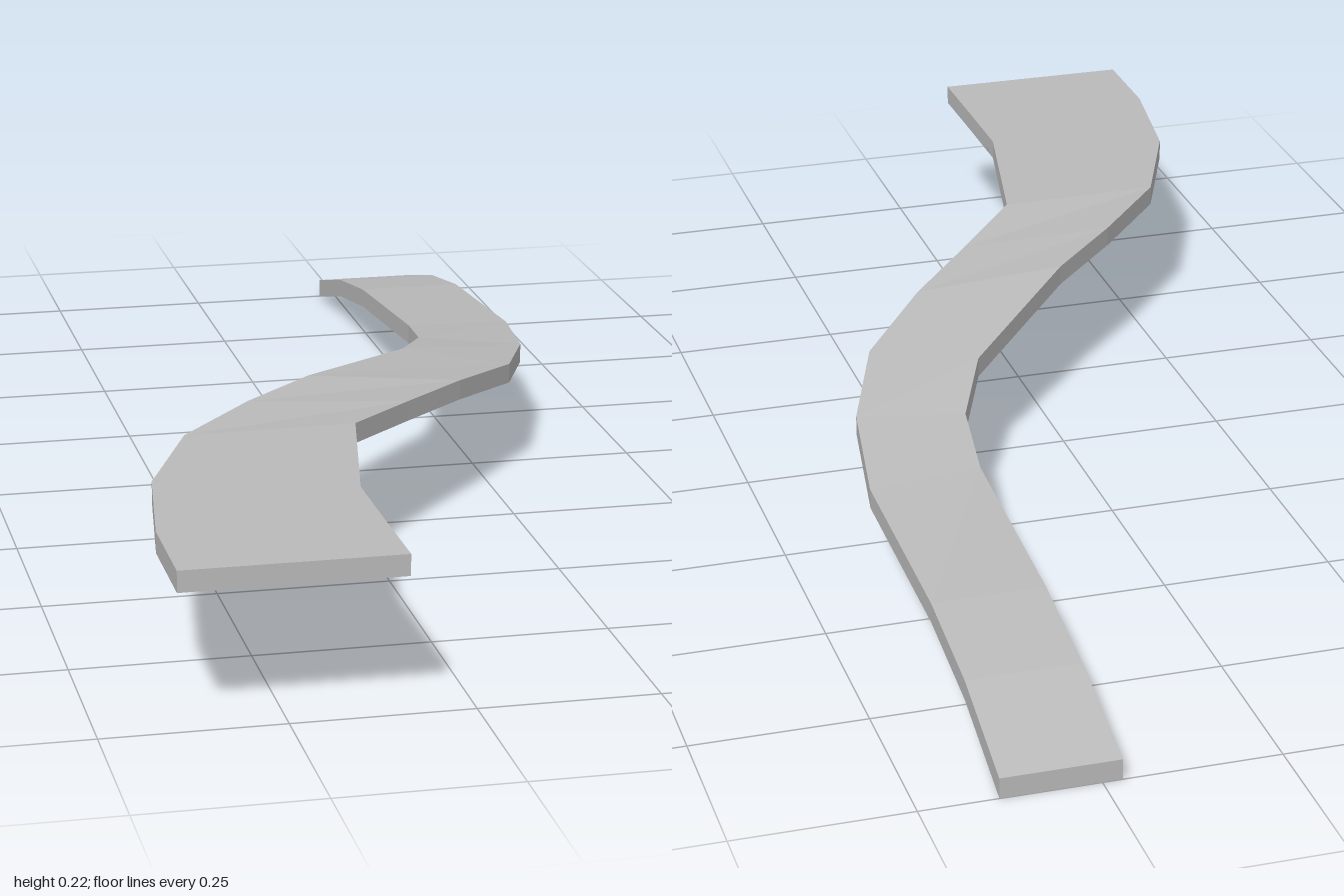
import * as THREE from 'three';

const THICKNESS = 0.03;

// Matching edge points of the ramp, from the high front end to the low back end: [x, y, z]
const outerEdge = [
  [-0.395, 0.222, 1], [-0.395, 0.222, 0.845], [-0.365, 0.222, 0.64], [-0.285, 0.222, 0.445],
  [-0.165, 0.221, 0.3], [-0.05, 0.217, 0.18], [0.148, 0.182, -0.045], [0.206, 0.158, -0.18],
  [0.223, 0.138, -0.32], [0.222, 0.109, -0.65], [0.222, 0.08, -0.82], [0.222, 0.032, -1],
];
const innerEdge = [
  [-0.09, 0.222, 1], [-0.092, 0.222, 0.86], [-0.093, 0.222, 0.72], [-0.037, 0.222, 0.44],
  [0.07, 0.21, 0.315], [0.18, 0.198, 0.19], [0.295, 0.174, 0.045], [0.36, 0.152, -0.13],
  [0.39, 0.131, -0.33], [0.386, 0.109, -0.65], [0.386, 0.08, -0.82], [0.39, 0.032, -1],
];

// Strip of quads between two equally long rows of points
function strip(rowA, rowB) {
  const pos = [];
  for (let i = 0; i < rowA.length - 1; i++) {
    const a = rowA[i], b = rowB[i], c = rowB[i + 1], d = rowA[i + 1];
    pos.push(...a, ...b, ...c, ...a, ...c, ...d);
  }
  const geo = new THREE.BufferGeometry();
  geo.setAttribute('position', new THREE.Float32BufferAttribute(pos, 3));
  geo.computeVertexNormals();
  return geo;
}

const lower = (row) => row.map(([x, y, z]) => [x, y - THICKNESS, z]);

export function createModel() {
  const group = new THREE.Group();
  group.name = 'curvedRamp';
  const grey = new THREE.MeshStandardMaterial({ color: 0xbababa, flatShading: true, side: THREE.DoubleSide });
  grey.name = 'concrete grey';

  const add = (name, rowA, rowB) => {
    const mesh = new THREE.Mesh(strip(rowA, rowB), grey);
    mesh.name = name;
    group.add(mesh);
  };
  // Vertical wall hanging below a row of points
  const addWall = (name, row) => add(name, row, lower(row));

  // Driving surface
  add('deck', outerEdge, innerEdge);

  // Skirt around the open underside
  const last = outerEdge.length - 1;
  addWall('outerSkirt', [...outerEdge].reverse());
  addWall('innerSkirt', innerEdge);
  addWall('frontSkirt', [outerEdge[0], innerEdge[0]]);
  addWall('backSkirt', [innerEdge[last], outerEdge[last]]);

  // Small diagonal rib under the front end
  addWall('underRib', [[-0.23, 0.222, 1], [-0.092, 0.222, 0.75]]);

  return group;
}
